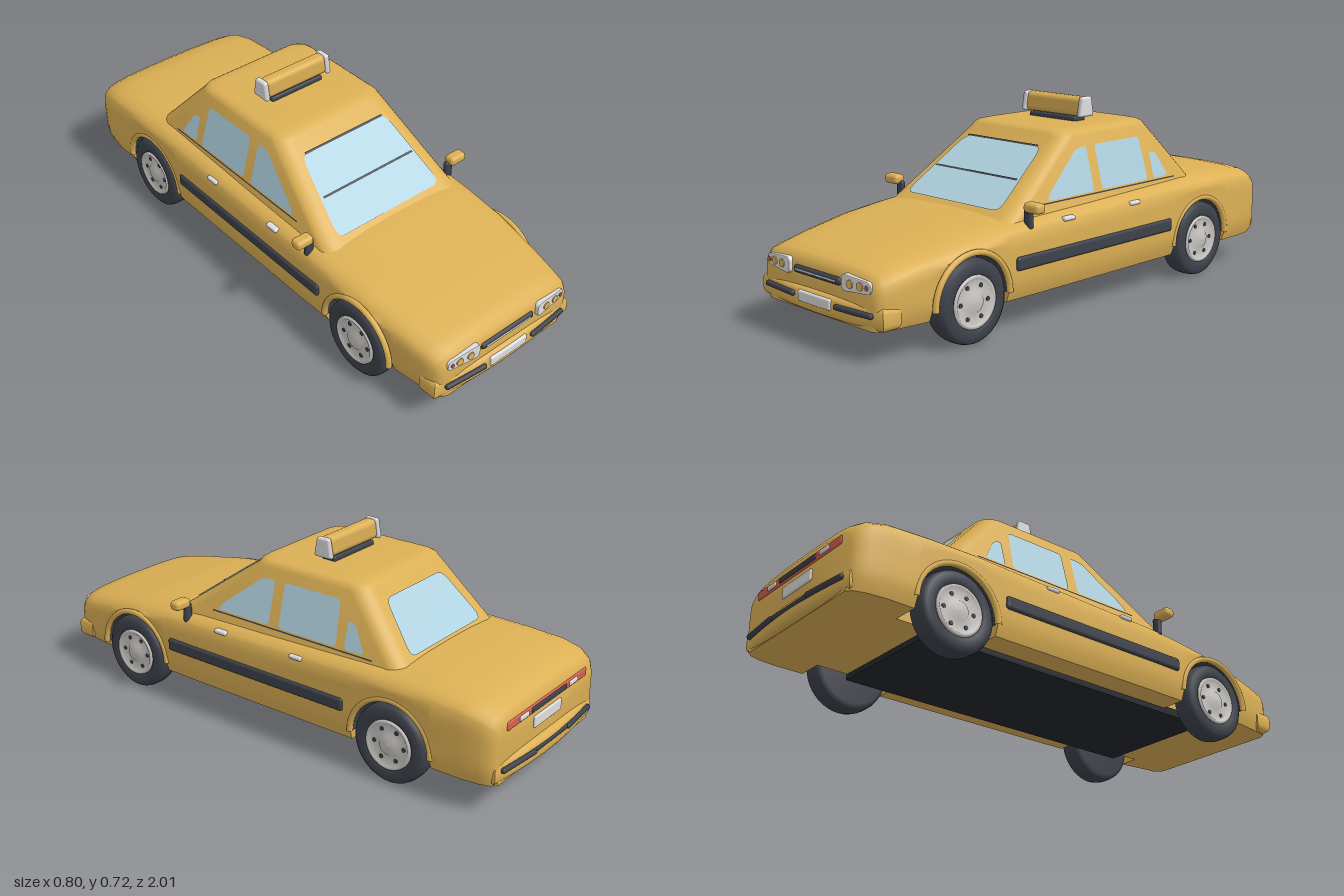
import * as THREE from 'three';
import { toCreasedNormals } from 'three/addons/utils/BufferGeometryUtils.js';
import { RoundedBoxGeometry } from 'three/addons/geometries/RoundedBoxGeometry.js';

const mat = (name, color, side = THREE.FrontSide) => {
  const m = new THREE.MeshStandardMaterial({ color, side });
  m.name = name;
  return m;
};
const paint = mat('yellow paint', 0xdcb055);
const rubber = mat('dark rubber', 0x3d414a, THREE.DoubleSide);
const floorMat = mat('underbody black', 0x25272d);
const glass = mat('window glass', 0xb0d2e0, THREE.DoubleSide);
const white = mat('white plastic', 0xdedee0);
const metal = mat('wheel metal', 0xc9c6c2);
const red = mat('red lens', 0xd4604e);
const amber = mat('amber lens', 0xe6b95c);

const lerp = THREE.MathUtils.lerp;

// Piecewise linear lookup in a list of [key, value] with falling keys
function lookup(table, k) {
  for (let i = 1; i < table.length; i++) {
    const [k0, v0] = table[i - 1], [k1, v1] = table[i];
    if (k >= k1) return lerp(v1, v0, Math.min(1, (k - k1) / (k0 - k1)));
  }
  return table[table.length - 1][1];
}

// Skin over closed rings (clockwise seen from the end they advance to), with capped ends
function loft(rings, crease) {
  const n = rings[0].length, pos = rings.flat(2), idx = [];
  for (let i = 0; i + 1 < rings.length; i++) for (let j = 0; j < n; j++) {
    const a = i * n + j, b = i * n + (j + 1) % n;
    idx.push(a, a + n, b + n, a, b + n, b);
  }
  for (const i of [0, rings.length - 1]) {
    const c = pos.length / 3, centre = [0, 1, 2].map(k => rings[i].reduce((s, p) => s + p[k], 0) / n);
    pos.push(...centre);
    for (let j = 0; j < n; j++) {
      const a = i * n + j, b = i * n + (j + 1) % n;
      if (i) idx.push(c, b, a); else idx.push(c, a, b);
    }
  }
  const g = new THREE.BufferGeometry();
  g.setAttribute('position', new THREE.Float32BufferAttribute(pos, 3));
  g.setIndex(idx);
  return toCreasedNormals(g, crease);
}

// Polygon with rounded corners
function roundedPoly(pts, r) {
  const v = pts.map(p => new THREE.Vector2(...p)), s = new THREE.Shape();
  v.forEach((p, i) => {
    const prev = v[(i + v.length - 1) % v.length], next = v[(i + 1) % v.length];
    const toward = q => p.clone().lerp(q, Math.min(0.45, r / p.distanceTo(q)));
    const a = toward(prev), b = toward(next);
    i ? s.lineTo(a.x, a.y) : s.moveTo(a.x, a.y);
    s.quadraticCurveTo(p.x, p.y, b.x, b.y);
  });
  s.closePath();
  return s;
}

// Body dimensions along z
const WHEELS = [0.62, -0.58], ARCH = 0.16, AXLE = 0.145, BOTTOM = 0.108;
const TOP = [[0.978, 0.262], [0.97, 0.284], [0.95, 0.299], [0.9, 0.31], [0.8, 0.329], [0.62, 0.358], [0.45, 0.376],
  [0.3, 0.386], [0, 0.392], [-0.5, 0.406], [-0.7, 0.403], [-0.85, 0.395], [-0.92, 0.382], [-0.955, 0.362], [-0.972, 0.335]];
const WIDTH = [[0.978, 0.28], [0.97, 0.3], [0.95, 0.312], [0.85, 0.328], [0.62, 0.35], [0.35, 0.357],
  [-0.85, 0.357], [-0.92, 0.348], [-0.955, 0.335], [-0.972, 0.315]];
function bottomAt(z) {
  for (const c of WHEELS) {
    const d = Math.abs(z - c);
    if (d <= ARCH + 1e-5) return AXLE + Math.sqrt(Math.max(0, ARCH * ARCH - d * d));
  }
  return BOTTOM;
}
function bodySection(z) {
  const t = lookup(TOP, z), w = lookup(WIDTH, z), b = bottomAt(z);
  const half = [[0, t], [0.35 * w, t - 0.001], [0.65 * w, t - 0.005], [0.82 * w, t - 0.012], [0.91 * w, t - 0.022],
    [0.965 * w, t - 0.036], [0.99 * w, t - 0.05]];
  for (let k = 1; k <= 6; k++) {
    const y = lerp(t - 0.05, b, k / 6), tuck = Math.max(0, (0.18 - y) / 0.07);
    half.push([w * (1 - 0.05 * tuck * tuck), y]);
  }
  half.push([0.24, b], [0.24, BOTTOM], [0, BOTTOM]);
  const other = half.slice(1, -1).reverse().map(([x, y]) => [-x, y]);
  return [...half, ...other].map(([x, y]) => [x, y, z]);
}

// Cabin walls are planes leaning inwards with height
const zFront = y => 0.405 - 0.305 * (y - 0.385) / 0.22;
const zBack = y => -0.575 + 0.18 * (y - 0.405) / 0.2;
const xSide = y => 0.305 - 0.058 * (y - 0.385) / 0.22;
function cabinRing([y, inset]) {
  const yw = Math.min(y, 0.605), r = 0.06, ring = [];
  const w = xSide(yw) - inset - r, f = zFront(yw) - inset - r, b = zBack(yw) + inset + r;
  [[w, f], [-w, f], [-w, b], [w, b]].forEach(([x, z], q) => {
    for (let k = 0; k <= 6; k++) {
      const a = (q + k / 6) * Math.PI / 2;
      ring.push([x + r * Math.cos(a), y, z + r * Math.sin(a)]);
    }
  });
  return ring;
}

export function createModel() {
  const car = new THREE.Group();
  car.name = 'taxi';
  const add = (name, geo, material, x = 0, y = 0, z = 0, parent = car) => {
    const m = new THREE.Mesh(geo, material);
    m.name = name;
    m.position.set(x, y, z);
    parent.add(m);
    return m;
  };
  const rbox = (name, m, w, h, d, x, y, z, r = 0.45 * Math.min(w, h, d)) =>
    add(name, new RoundedBoxGeometry(w, h, d, 3, r), m, x, y, z);
  // Thin plate whose 2D outline is laid on a wall by a rule
  const pane = (name, material, pts, r, rule) => {
    const g = new THREE.ShapeGeometry(roundedPoly(pts, r), 5), p = g.attributes.position;
    for (let i = 0; i < p.count; i++) p.setXYZ(i, ...rule(p.getX(i), p.getY(i)));
    g.computeVertexNormals();
    return add(name, g, material);
  };

  // Body and cabin
  const stations = [...TOP.map(p => p[0])];
  for (const c of WHEELS) {
    for (let k = 0; k <= 20; k++) stations.push(c + ARCH * Math.cos(k * Math.PI / 20));
    stations.push(c + ARCH + 0.001, c - ARCH - 0.001);
  }
  stations.sort((a, b) => a - b);
  add('body', loft(stations.map(bodySection), 0.75), paint);
  add('cabin', loft([[0.35, 0], [0.45, 0], [0.605, 0], [0.617, 0.006], [0.626, 0.018], [0.631, 0.04], [0.632, 0.07]].map(cabinRing), 0.8), paint);
  add('underbody', new THREE.BoxGeometry(0.49, 0.03, 1.28), floorMat, 0, 0.102, 0.02);

  // Windows
  const front = (x, y) => [x, y + 0.003, zFront(y) + 0.003];
  pane('windshield', glass, [[-0.242, 0.39], [0.242, 0.39], [0.195, 0.575], [-0.195, 0.575]], 0.03, front);
  pane('windshieldTopSeal', rubber, [[-0.18, 0.572], [0.18, 0.572], [0.18, 0.577], [-0.18, 0.577]], 0.001, (x, y) => [x, y + 0.005, zFront(y) + 0.005]);
  pane('wiper', rubber, [[-0.21, 0.474], [0.21, 0.474], [0.21, 0.479], [-0.21, 0.479]], 0.001, (x, y) => [x, y + 0.005, zFront(y) + 0.005]);
  pane('rearWindow', glass, [[-0.22, 0.412], [0.22, 0.412], [0.17, 0.572], [-0.17, 0.572]], 0.03, (x, y) => [x, y + 0.003, zBack(y) - 0.003]);
  const sideWindows = {
    frontDoorWindow: [[0.225, 0.41], [0.205, 0.437], [0.04, 0.565], [-0.015, 0.57], [-0.015, 0.41]],
    rearDoorWindow: [[-0.06, 0.41], [-0.06, 0.57], [-0.305, 0.57], [-0.315, 0.41]],
    quarterWindow: [[-0.35, 0.41], [-0.35, 0.512], [-0.385, 0.5], [-0.435, 0.412]],
  };

  for (const s of [1, -1]) {
    const side = (z, y) => [s * (xSide(y) + 0.003), y, z];
    for (const [name, pts] of Object.entries(sideWindows)) pane(name, glass, pts, 0.015, side);
    pane('beltStrip', rubber, [[0.25, 0.4], [-0.47, 0.4], [-0.47, 0.405], [0.25, 0.405]], 0.001, side);

    // Side trim, handles and mirrors
    rbox('sideMoulding', rubber, 0.024, 0.048, 0.82, s * 0.354, 0.235, 0.02);
    for (const z of [0.17, -0.18]) rbox('doorHandle', white, 0.024, 0.016, 0.055, s * 0.348, 0.35, z);
    rbox('mirrorArm', rubber, 0.034, 0.075, 0.022, s * 0.333, 0.375, 0.35);
    rbox('mirror', paint, 0.072, 0.036, 0.045, s * 0.364, 0.417, 0.355, 0.014);

    // Wheels, arch flares and liners
    for (const z of WHEELS) {
      const flare = new THREE.TorusGeometry(ARCH + 0.004, 0.011, 8, 28, Math.PI).rotateY(Math.PI / 2);
      add('archFlare', flare, paint, s * 0.35, AXLE, z);
      const liner = new THREE.CylinderGeometry(ARCH - 0.004, ARCH - 0.004, 0.1, 24, 1, true, 0, Math.PI);
      add('archLiner', liner.rotateZ(Math.PI / 2), rubber, s * 0.293, AXLE, z);
      const wall = new THREE.CircleGeometry(ARCH - 0.004, 24, 0, Math.PI).rotateY(Math.PI / 2);
      add('archWall', wall, rubber, s * 0.244, AXLE, z);

      const wheel = new THREE.Group();
      wheel.name = 'wheel';
      wheel.position.set(s * 0.314, AXLE, z);
      wheel.rotation.y = s > 0 ? 0 : Math.PI;
      car.add(wheel);
      const lathe = pts => new THREE.LatheGeometry(pts.map(p => new THREE.Vector2(...p)), 40).rotateZ(-Math.PI / 2);
      add('tyre', lathe([[0, -0.044], [0.125, -0.044], [0.141, -0.034], [0.145, -0.015], [0.145, 0.018], [0.141, 0.034],
        [0.128, 0.044], [0.1, 0.046], [0.088, 0.036]]), rubber, 0, 0, 0, wheel);
      add('rim', lathe([[0.092, 0.034], [0.09, 0.045], [0.08, 0.045], [0.072, 0.037], [0.04, 0.038], [0.034, 0.045], [0, 0.048]]), metal, 0, 0, 0, wheel);
      for (let k = 0; k < 6; k++) {
        const a = k * Math.PI / 3;
        add('rimHole', new THREE.CylinderGeometry(0.008, 0.008, 0.006, 10).rotateZ(Math.PI / 2), rubber,
          0.037, 0.06 * Math.sin(a), 0.06 * Math.cos(a), wheel);
      }
    }

    // Headlights
    const lamp = new THREE.Group();
    lamp.name = 'headlight';
    lamp.position.set(s * 0.205, 0.247, 0.962);
    lamp.rotation.y = s * 0.08;
    car.add(lamp);
    const outline = roundedPoly([[-s * 0.066, -0.026], [s * 0.066, -0.018], [s * 0.066, 0.016], [-s * 0.066, 0.026]], 0.018);
    add('lampHousing', new THREE.ExtrudeGeometry(outline, { depth: 0.02, bevelThickness: 0.004, bevelSize: 0.003, bevelSegments: 2 }), white, 0, 0, 0, lamp);
    const disc = r => new THREE.CylinderGeometry(r, r, 0.006, 20).rotateX(Math.PI / 2);
    for (const x of [-0.026, 0.02]) add('lampLens', disc(0.014), amber, s * x, 0, 0.025, lamp);
    add('turnSignal', disc(0.008).scale(0.8, 1, 1), red, s * 0.051, 0, 0.025, lamp);

    // Front bumper strips and tail lamp ends
    rbox('bumperStrip', rubber, 0.175, 0.019, 0.02, s * 0.195, 0.16, 0.989).rotation.y = s * 0.085;
    rbox('reverseLamp', white, 0.055, 0.018, 0.014, s * 0.165, 0.305, -0.975, 0.005);
  }

  // Bumpers: bowed in plan, rounded in section
  for (const [name, s] of [['frontBumper', 1], ['rearBumper', -1]]) {
    const plan = new THREE.Shape();
    plan.moveTo(-0.297, 0.925);
    plan.lineTo(0.297, 0.925);
    plan.lineTo(0.297, 0.95);
    plan.quadraticCurveTo(0, 0.992, -0.297, 0.95);
    plan.closePath();
    const g = new THREE.ExtrudeGeometry(plan, { depth: 0.03, bevelThickness: 0.025, bevelSize: 0.025, bevelSegments: 5, curveSegments: 20 });
    g.rotateX(Math.PI / 2);
    const bumper = add(name, toCreasedNormals(g, 0.7), paint, 0, 0.164, 0);
    if (s < 0) bumper.rotation.y = Math.PI;
  }

  // Nose and tail details
  rbox('frontPlate', white, 0.174, 0.038, 0.02, 0, 0.159, 0.99, 0.007);
  rbox('grille', rubber, 0.248, 0.028, 0.03, 0, 0.241, 0.974);
  rbox('grilleBar', white, 0.215, 0.006, 0.008, 0, 0.241, 0.988);
  rbox('tailLampBar', red, 0.53, 0.034, 0.026, 0, 0.305, -0.964, 0.008);
  rbox('tailTrim', rubber, 0.23, 0.02, 0.016, 0, 0.305, -0.974, 0.005);
  rbox('rearPlate', white, 0.18, 0.042, 0.014, 0, 0.25, -0.972, 0.005);
  rbox('rearBumperStrip', rubber, 0.24, 0.019, 0.016, 0, 0.16, -0.991);
  for (const s of [1, -1]) rbox('rearBumperStrip', rubber, 0.19, 0.019, 0.02, s * 0.2, 0.16, -0.988).rotation.y = -s * 0.085;

  // Roof sign, narrower towards the top
  const taperBox = (name, m, w, h, d, x, r) => {
    const g = new RoundedBoxGeometry(w, h, d, 4, r), p = g.attributes.position;
    for (let i = 0; i < p.count; i++) p.setZ(i, p.getZ(i) * (0.82 - 0.36 * p.getY(i) / h));
    add(name, g, m, x, 0.686, -0.14);
  };
  taperBox('roofSign', paint, 0.284, 0.072, 0.068, 0, 0.02);
  for (const s of [1, -1]) taperBox('roofSignEnd', white, 0.022, 0.075, 0.08, s * 0.142, 0.01);
  rbox('roofSignBase', rubber, 0.235, 0.022, 0.06, 0, 0.638, -0.14, 0.008);

  return car;
}
